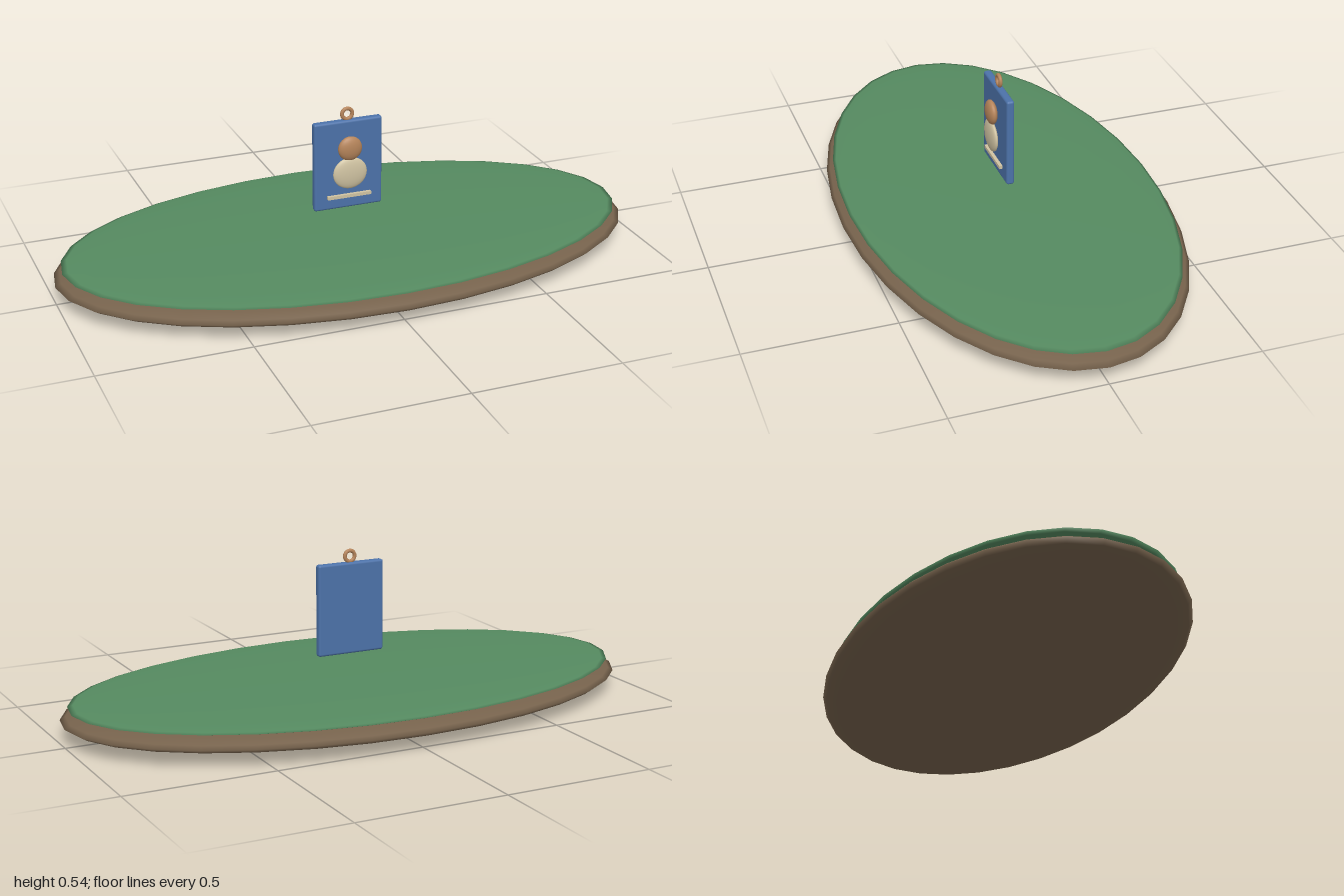
import * as THREE from 'three';
import { RoundedBoxGeometry } from 'three/addons/geometries/RoundedBoxGeometry.js';

export function createModel() {
  const model = new THREE.Group();
  model.name = 'plaqueOnIsland';

  const material = (name, color) => {
    const m = new THREE.MeshStandardMaterial({ color });
    m.name = name;
    return m;
  };
  const earth = material('earth brown', 0x76624c);
  const grass = material('grass green', 0x558a60);
  const blue = material('plaque blue', 0x4c72a9);
  const tan = material('tan', 0xb5845a);
  const cream = material('cream', 0xd0c3a2);

  const add = (name, geometry, mat, x, y, z, parent = model) => {
    const mesh = new THREE.Mesh(geometry, mat);
    mesh.name = name;
    mesh.position.set(x, y, z);
    parent.add(mesh);
    return mesh;
  };
  const ellipsoid = (rx, ry, rz, w = 32, h = 16) =>
    new THREE.SphereGeometry(1, w, h).scale(rx, ry, rz);

  // Flattened ground: earth with a thin layer of grass
  add('earthBase', ellipsoid(1, 0.06, 0.545), earth, 0, 0.06, 0);
  add('grassTop', ellipsoid(0.975, 0.02, 0.522), grass, 0, 0.102, 0);

  // Floating plaque with hanging ring
  const plaque = new THREE.Group();
  plaque.name = 'plaque';
  model.add(plaque);
  add('board', new RoundedBoxGeometry(0.24, 0.31, 0.027, 3, 0.008), blue, 0, 0.342, 0.001, plaque);
  add('hangingRing', new THREE.TorusGeometry(0.018, 0.0065, 10, 28), tan, 0, 0.517, 0.001, plaque);

  // Raised figure and the bar beneath it
  add('figureHead', ellipsoid(0.042, 0.042, 0.018, 24, 16), tan, 0, 0.404, 0.028, plaque);
  add('figureBody', ellipsoid(0.06, 0.055, 0.014, 24, 16), cream, 0, 0.317, 0.028, plaque);
  add('bar', new THREE.BoxGeometry(0.154, 0.011, 0.012), cream, 0, 0.233, 0.02, plaque);

  return model;
}
